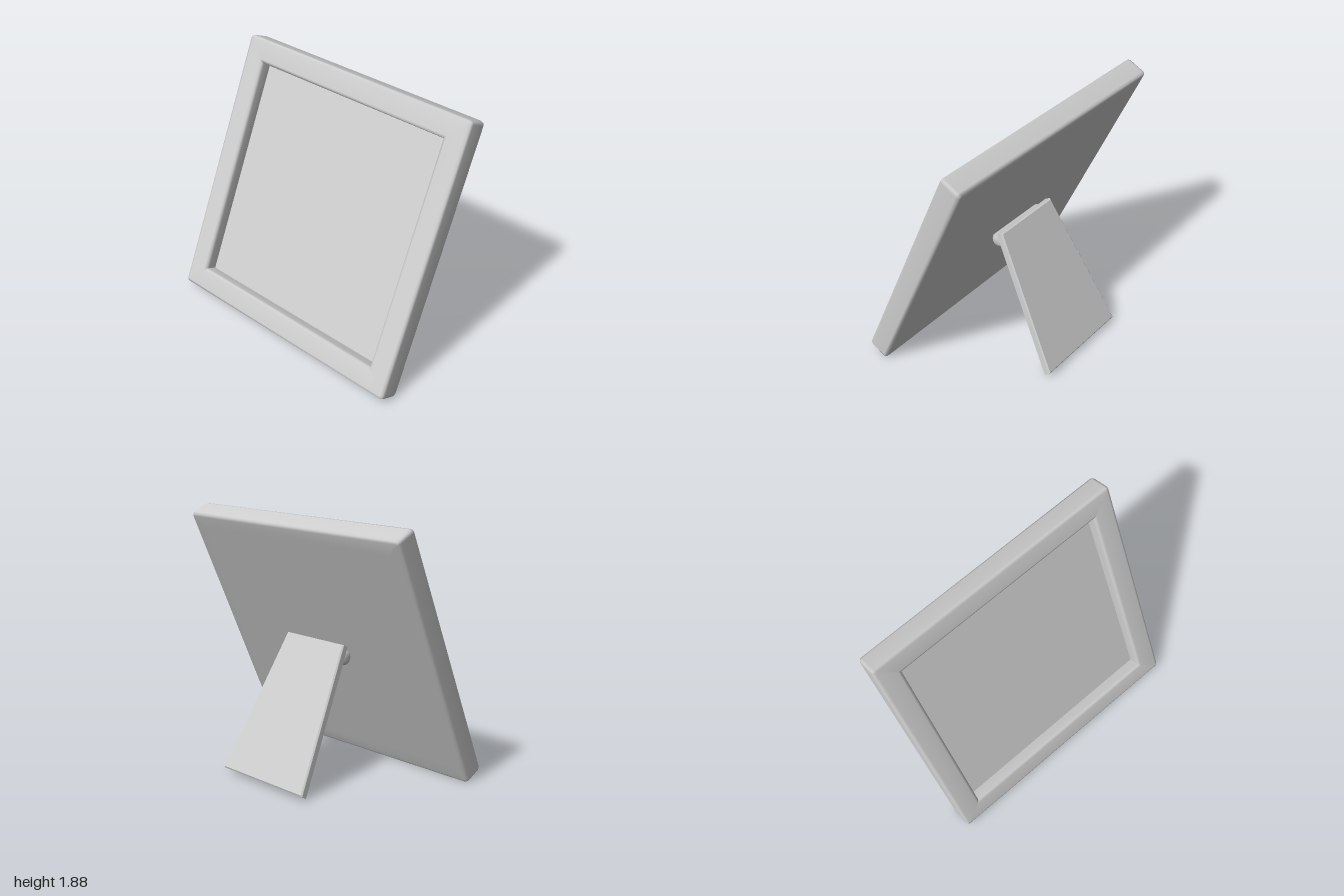
import * as THREE from 'three';

// Square loop with rounded corners, counter-clockwise seen from the front
function squareLoop(half, radius, z) {
  const points = [];
  for (let corner = 0; corner < 4; corner++) {
    const mid = Math.PI / 4 + corner * Math.PI / 2;
    const cx = Math.sign(Math.cos(mid)) * (half - radius);
    const cy = Math.sign(Math.sin(mid)) * (half - radius);
    for (let k = -1; k <= 1; k++) {
      const a = mid + k * Math.PI / 4;
      points.push([cx + radius * Math.cos(a), cy + radius * Math.sin(a), z]);
    }
  }
  return points;
}

// Skin a list of loops into one smooth surface
function loft(loops) {
  const n = loops[0].length;
  const index = [];
  for (let i = 0; i < loops.length - 1; i++) {
    for (let j = 0; j < n; j++) {
      const a = i * n + j, b = i * n + (j + 1) % n;
      index.push(a, b, a + n, b, b + n, a + n);
    }
  }
  const geometry = new THREE.BufferGeometry();
  geometry.setAttribute('position', new THREE.Float32BufferAttribute(loops.flat(2), 3));
  geometry.setIndex(index);
  geometry.computeVertexNormals();
  return geometry;
}

export function createModel() {
  const grey = new THREE.MeshStandardMaterial({ color: 0xcccccc });
  grey.name = 'light grey';
  const model = new THREE.Group();
  model.name = 'pictureFrame';

  function add(parent, name, geometry) {
    const mesh = new THREE.Mesh(geometry, grey);
    mesh.name = name;
    parent.add(mesh);
    return mesh;
  }

  // Leaning frame: back, rounded rim and recessed opening
  const frame = new THREE.Group();
  frame.name = 'frame';
  frame.position.set(0, 0.943, 0.128);
  frame.rotation.x = THREE.MathUtils.degToRad(-24.2);
  model.add(frame);

  const profile = [ // half size, corner radius, depth
    [0, 0, -0.086], [0.88, 0.01, -0.086], [0.975, 0.012, -0.086],
    [0.993, 0.02, -0.079], [1, 0.027, -0.061], [1, 0.027, 0.061],
    [0.993, 0.02, 0.079], [0.975, 0.012, 0.086],
    [0.85, 0.004, 0.086], [0.832, 0.003, 0.078], [0.825, 0.002, 0.06], [0.825, 0.002, -0.008],
  ];
  add(frame, 'frameRim', loft(profile.map(p => squareLoop(...p))));

  // Flat picture surface at the bottom of the recess
  add(frame, 'picturePanel', new THREE.PlaneGeometry(1.65, 1.65)).position.z = -0.007;

  // Tapered rear stand
  const bevel = 0.01, thickness = 0.063, halfLength = 0.543;
  const outline = new THREE.Shape();
  outline.moveTo(-0.4, -halfLength);
  outline.lineTo(0.4, -halfLength);
  outline.lineTo(0.28, halfLength);
  outline.lineTo(-0.28, halfLength);
  outline.closePath();
  const standGeometry = new THREE.ExtrudeGeometry(outline, {
    depth: thickness - 2 * bevel, bevelThickness: bevel, bevelSize: bevel,
    bevelOffset: -bevel, bevelSegments: 1,
  });
  standGeometry.translate(0, 0, bevel - thickness / 2);
  const stand = add(model, 'rearStand', standGeometry);
  stand.position.set(0, 0.499, -0.313);
  stand.rotation.x = THREE.MathUtils.degToRad(29.8);

  // Hinge pin between frame and stand
  const pin = [[0, -0.25], [0.035, -0.25], [0.053, -0.232], [0.053, 0.232], [0.035, 0.25], [0, 0.25]];
  const hinge = add(model, 'hingePin',
    new THREE.LatheGeometry(pin.map(p => new THREE.Vector2(...p)), 12));
  hinge.rotation.z = Math.PI / 2;
  hinge.position.set(0, 0.867, 0.003);

  return model;
}
